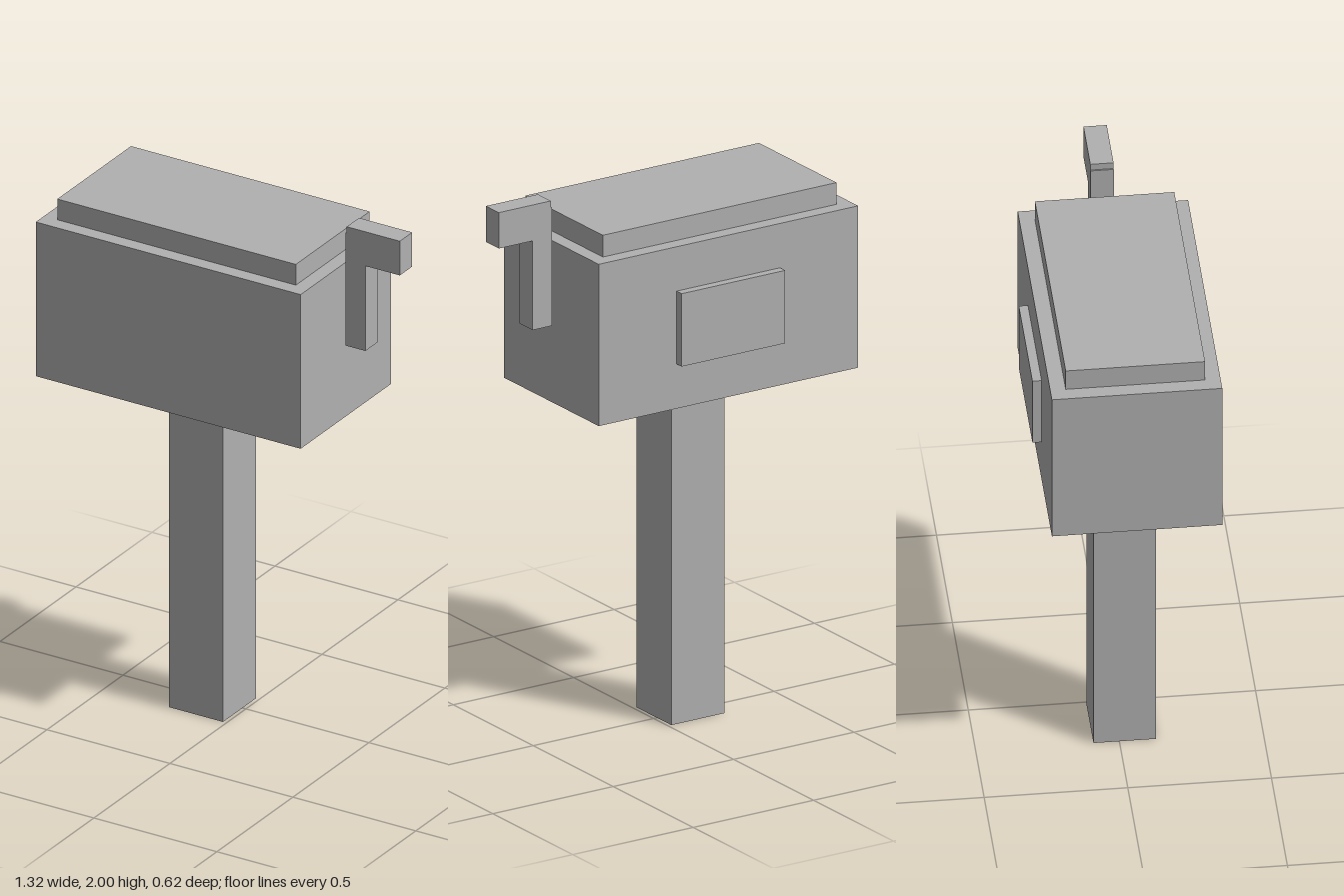
import * as THREE from 'three';

export function createModel() {
  const model = new THREE.Group();
  model.name = 'mailbox';
  const grey = new THREE.MeshStandardMaterial({ color: 0xb0b0b0 });
  grey.name = 'plain grey';

  // Box given by its extents along each axis
  function box(name, [x0, x1], [y0, y1], [z0, z1], parent = model) {
    const mesh = new THREE.Mesh(new THREE.BoxGeometry(x1 - x0, y1 - y0, z1 - z0), grey);
    mesh.name = name;
    mesh.position.set((x0 + x1) / 2, (y0 + y1) / 2, (z0 + z1) / 2);
    parent.add(mesh);
    return mesh;
  }

  // Support post, box body and stepped lid
  box('post', [-0.234, -0.014], [0, 1.243], [-0.09, 0.128]);
  box('body', [-0.662, 0.415], [1.243, 1.838], [-0.282, 0.311]);
  box('lid', [-0.608, 0.362], [1.838, 1.918], [-0.228, 0.257]);

  // Raised panel on the back
  box('backPanel', [-0.338, 0.092], [1.407, 1.675], [-0.314, -0.282]);

  // Signal flag floating beside the body
  const flag = new THREE.Group();
  flag.name = 'flag';
  model.add(flag);
  box('flagStem', [0.439, 0.52], [1.54, 1.975], [-0.026, 0.055], flag);
  box('flagArm', [0.444, 0.66], [1.868, 2], [-0.026, 0.055], flag);

  return model;
}
